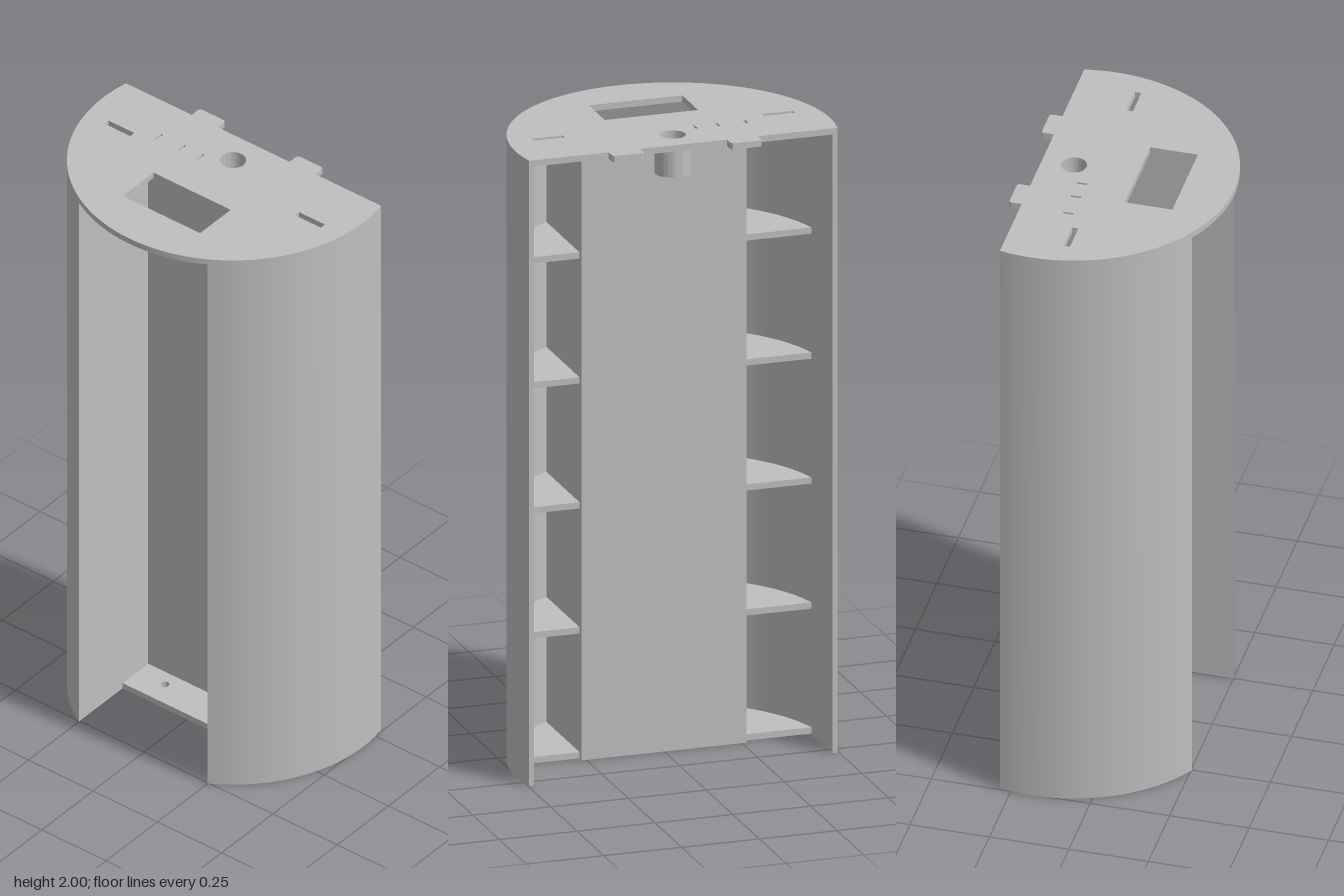
import * as THREE from 'three';
import { toCreasedNormals } from 'three/addons/utils/BufferGeometryUtils.js';

const CZ = -0.185, R = 0.505, RI = 0.49;       // arc centre, outer and inner radius
const BACK = -0.285, TOP = 1.98, T = 0.02;     // rear plane, underside of lid, plate thickness
const HALF = 0.25, WALL = 0.265;               // channel half width, inside and outside

export function createModel() {
  const group = new THREE.Group();
  const grey = new THREE.MeshStandardMaterial({ color: 0xbfbfbf });
  grey.name = 'grey plastic';

  const add = (name, geometry) => {
    const mesh = new THREE.Mesh(toCreasedNormals(geometry, 0.5), grey);
    mesh.name = name;
    group.add(mesh);
    return mesh;
  };
  // Extrude a plan drawn in (x, z) from height y upward
  const plan = (name, shape, y, h) => {
    const g = new THREE.ExtrudeGeometry(shape, { depth: h, bevelEnabled: false, curveSegments: 24 });
    g.rotateX(Math.PI / 2).translate(0, y + h, 0);
    return add(name, g);
  };
  const poly = (pts) => new THREE.Shape(pts.map(([x, z]) => new THREE.Vector2(x, z)));
  const rect = (x0, x1, z0, z1) => poly([[x0, z0], [x1, z0], [x1, z1], [x0, z1]]);
  const circle = (x, z, r) => new THREE.Path().absarc(x, z, r, 0, Math.PI * 2, true);
  const arc = (r, a0, a1, n) => Array.from({ length: n + 1 }, (_, i) => {
    const a = a0 + (a1 - a0) * i / n;
    return [r * Math.cos(a), CZ + r * Math.sin(a)];
  });
  const angleAtZ = (r, z) => Math.asin((z - CZ) / r);
  const angleAtX = (r, x) => Math.acos(x / r);

  // Lid with rear tabs, window, cable hole and slots
  const a0 = angleAtZ(R, BACK);
  const tab = (s) => [[0.14, BACK], [0.14, -0.319], [0.146, -0.325], [0.234, -0.325], [0.24, -0.319], [0.24, BACK]]
    .map(([x, z]) => [s * x, z]);
  const lid = poly([...arc(R, a0, Math.PI - a0, 96), ...tab(-1).reverse(), ...tab(1)]);
  lid.holes.push(rect(-0.15, 0.15, 0.015, 0.165), circle(0, CZ, 0.04));
  for (const x of [-0.25, -0.16, -0.088]) lid.holes.push(rect(x - 0.004, x + 0.004, -0.152, -0.12));
  for (const x of [-0.37, 0.37]) lid.holes.push(rect(x - 0.05, x + 0.05, -0.105, -0.085));
  plan('lid', lid, TOP, T);

  // Cable tube below the lid
  const tube = new THREE.Shape().absarc(0, CZ, 0.056, 0, Math.PI * 2, false);
  tube.holes.push(circle(0, CZ, 0.04));
  plan('cableTube', tube, 1.88, 0.1);

  // Curved shell, channel walls and shelves on both sides
  for (const s of [1, -1]) {
    const side = s > 0 ? 'left' : 'right';
    const mirror = (pts) => poly(pts.map(([x, z]) => [s * x, z]));
    const innerEnd = angleAtX(RI, WALL);
    const zJoin = CZ + RI * Math.sin(innerEnd);
    plan(side + 'Shell', mirror([
      ...arc(R, a0, angleAtX(R, HALF), 40),
      [HALF, -0.085], [WALL, -0.085], [WALL, zJoin],
      ...arc(RI, innerEnd, angleAtZ(RI, BACK), 40).slice(1),
    ]), 0, TOP);
    const shelf = mirror([[WALL, -0.085], ...arc(RI, angleAtZ(RI, -0.085), innerEnd, 24)]);
    for (let i = 0; i < 5; i++) plan(side + (i ? 'Shelf' : 'Bottom'), shelf, i * 0.4, T);
  }

  // Channel floor with two screw holes
  const floor = rect(-HALF, HALF, -0.085, 0.04);
  for (const x of [-0.146, 0.146]) floor.holes.push(circle(x, -0.035, 0.014));
  plan('channelFloor', floor, 0, T);

  // Channel back panel with two wire holes near the top
  const panel = rect(-WALL, WALL, 0, TOP);
  for (const x of [-0.22, -0.125]) panel.holes.push(circle(x, 1.955, 0.013));
  const panelGeo = new THREE.ExtrudeGeometry(panel, { depth: T, bevelEnabled: false, curveSegments: 24 });
  add('backPanel', panelGeo.translate(0, 0, -0.105));

  return group;
}
